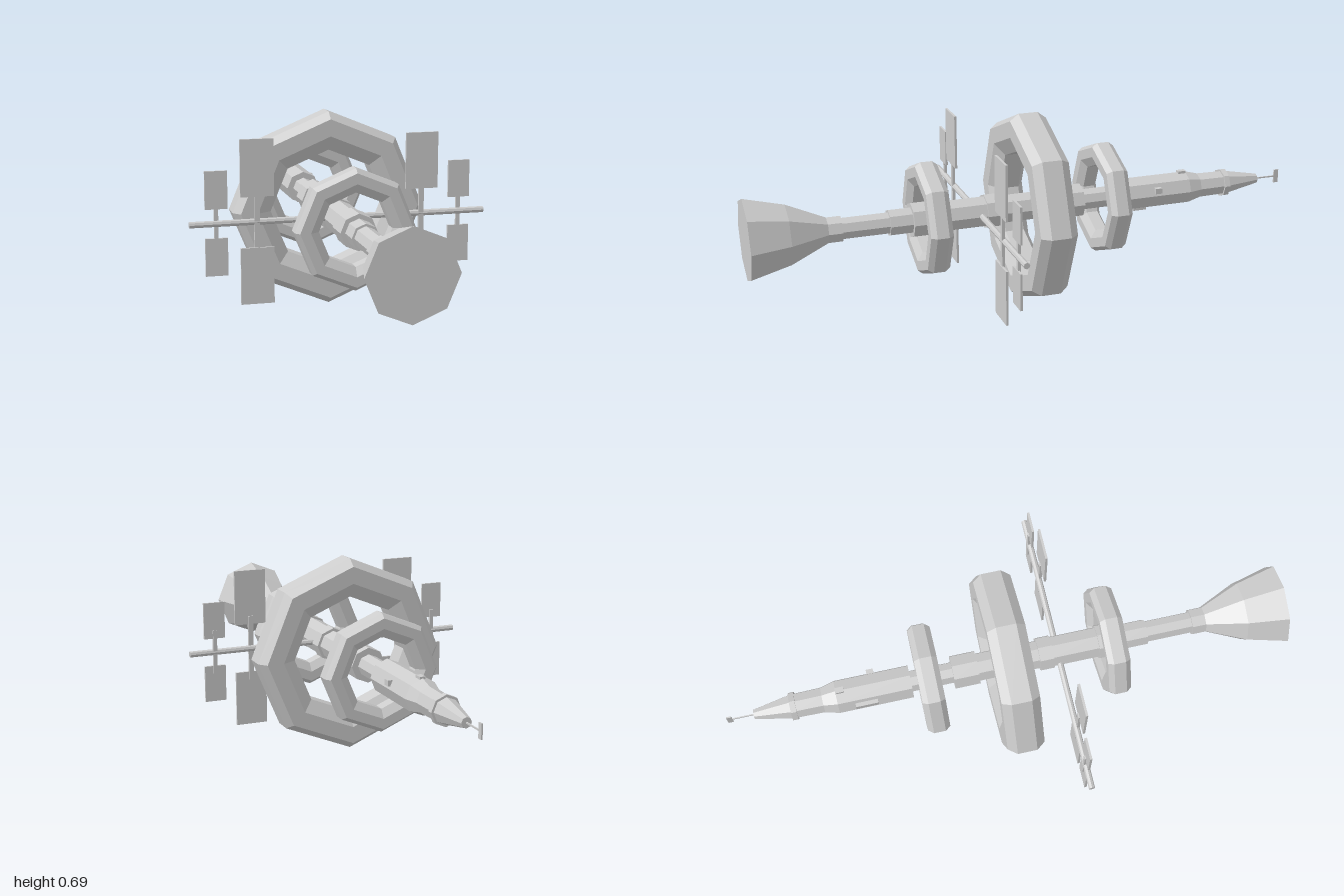
import * as THREE from 'three';

const AXIS_Y = 0.345;

export function createModel() {
  const station = new THREE.Group();
  station.name = 'spaceStation';
  const mat = new THREE.MeshStandardMaterial({ color: 0xcccccc, flatShading: true });

  const add = (parent, name, geo, x = 0, y = 0, z = 0) => {
    const mesh = new THREE.Mesh(geo, mat);
    mesh.name = name;
    mesh.position.set(x, y, z);
    parent.add(mesh);
    return mesh;
  };

  // Eight-sided solid of revolution along z; profile of [radius, z], z rising outside
  const turned = (profile) =>
    new THREE.LatheGeometry(profile.map(([r, z]) => new THREE.Vector2(r, z)), 8).rotateX(Math.PI / 2);

  const body = new THREE.Group();
  body.name = 'body';
  body.position.y = AXIS_Y;
  station.add(body);

  // Stepped modules from the docking nose to the engine neck
  add(body, 'coreModules', turned([
    [0, -0.905], [0.018, -0.905], [0.044, -0.775], [0.052, -0.775], [0.052, -0.755],
    [0.045, -0.755], [0.047, -0.66], [0.061, -0.61], [0.061, -0.345],
    [0.039, -0.345], [0.039, -0.195], [0.062, -0.195], [0.062, -0.105],
    [0.052, -0.105], [0.052, 0.115], [0.062, 0.115], [0.062, 0.165],
    [0.056, 0.165], [0.056, 0.33], [0.063, 0.33], [0.063, 0.43],
    [0.047, 0.43], [0.047, 0.51], [0.039, 0.51], [0.039, 0.675],
    [0.047, 0.675], [0.047, 0.725], [0, 0.725],
  ]));

  // Flared engine bell, closed at its mouth
  add(body, 'engineBell', turned([[0.045, 0.72], [0.11, 0.86], [0.147, 1], [0, 1]]));

  // Habitat rings: bevelled octagonal hoops of different sizes
  const ringProfile = [
    [0.344, -0.035], [0.344, 0.035], [0.32, 0.066], [0.26, 0.066],
    [0.209, 0.035], [0.209, -0.035], [0.26, -0.066], [0.32, -0.066], [0.344, -0.035],
  ];
  for (const [name, scale, z] of [['mainRing', 1, 0], ['frontRing', 0.6, 0.37], ['rearRing', 0.6, -0.282]]) {
    add(body, name, turned(ringProfile.map(([r, d]) => [r * scale, d * scale])), 0, 0, z);
  }

  // Small equipment boxes on the nose modules
  for (const [x, y, z, length] of [
    [-0.053, 0.02, -0.51, 0.08], [0.056, 0.02, -0.48, 0.025],
    [0, 0.056, -0.595, 0.03], [0, -0.056, -0.43, 0.05],
  ]) add(body, 'equipmentBox', new THREE.BoxGeometry(0.02, 0.02, length), x, y, z);

  // Antenna with a small upright end plate
  add(body, 'antennaMast', new THREE.BoxGeometry(0.004, 0.005, 0.09), 0, 0, -0.945);
  add(body, 'antennaPlate', new THREE.BoxGeometry(0.005, 0.05, 0.018), 0, 0, -0.991);

  // Solar array: cross beam with two pairs of panels on each side
  const array = new THREE.Group();
  array.name = 'solarArray';
  array.position.z = 0.186;
  body.add(array);
  add(array, 'crossBeam', new THREE.CylinderGeometry(0.011, 0.011, 1.04, 8).rotateZ(Math.PI / 2));

  const panels = [
    { size: 'large', x: 0.29, width: 0.115, from: 0.088, to: 0.284, z: 0.009, strut: 0.018 },
    { size: 'small', x: 0.428, width: 0.077, from: 0.05, to: 0.18, z: 0, strut: 0.014 },
  ];
  for (const side of [-1, 1]) {
    for (const p of panels) {
      add(array, p.size + 'PanelStrut',
        new THREE.BoxGeometry(p.strut, 2 * p.from + 0.06, 0.01), side * p.x, 0, p.z - 0.004);
      for (const up of [-1, 1]) {
        add(array, p.size + 'SolarPanel', new THREE.BoxGeometry(p.width, p.to - p.from, 0.008),
          side * p.x, up * (p.from + p.to) / 2, p.z);
      }
    }
  }

  return station;
}
